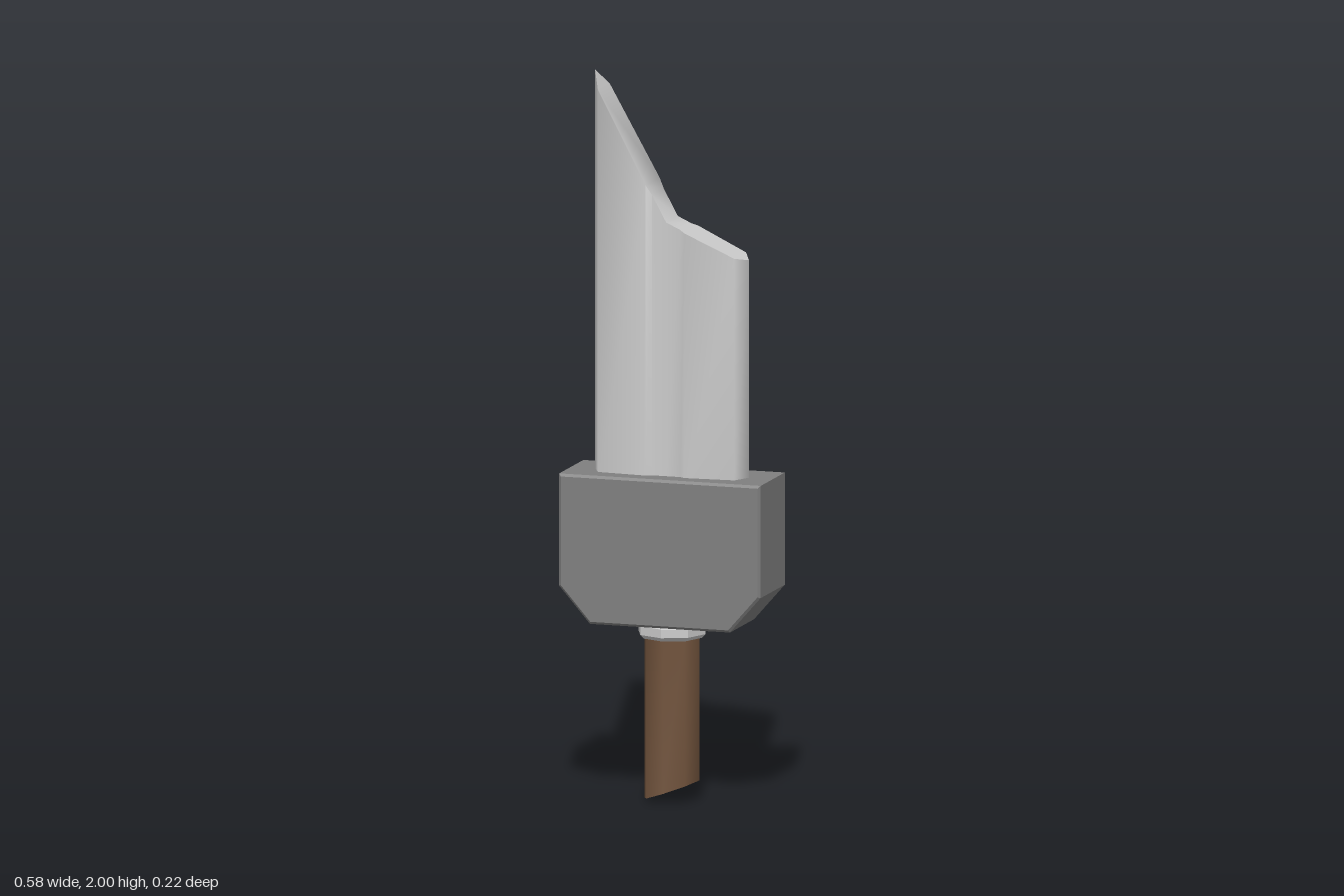
import * as THREE from 'three';
import { toCreasedNormals } from 'three/addons/utils/BufferGeometryUtils.js';

const material = (color) => new THREE.MeshStandardMaterial({ color });

function addPart(group, name, geometry, mat) {
  const mesh = new THREE.Mesh(geometry, mat);
  mesh.name = name;
  group.add(mesh);
  return mesh;
}

// Height of the snapped blade end at a given x
const breakHeight = (x) => (x < 0 ? 1.6 - x * (0.4 / 0.22) : 1.6 - x * (0.1 / 0.22));

// Fullered cross-section, extruded up to the broken end
function bladeGeometry() {
  const half = [
    [-0.22, 0], [-0.195, 0.05], [-0.055, 0.06], [-0.04, 0.05], [0, 0.05],
    [0.04, 0.05], [0.055, 0.06], [0.195, 0.05], [0.22, 0],
  ];
  const back = half.slice(1, -1).reverse().map(([x, z]) => [x, -z]);
  const ring = [...half, ...back];
  const n = ring.length;
  const positions = [];
  for (const [x, z] of ring) positions.push(x, 0.86, z);
  for (const [x, z] of ring) positions.push(x, breakHeight(x), z);

  const index = [];
  for (let i = 0; i < n; i++) {
    const j = (i + 1) % n;
    index.push(i, j, n + j, i, n + j, n + i);
  }
  // Broken end: strips between the front and back halves
  for (let i = 0; i < half.length - 1; i++) {
    const c = n - i - 1, d = (n - i) % n;
    if (c !== i + 1) index.push(n + i, n + i + 1, n + c);
    if (d !== i) index.push(n + i, n + c, n + d);
  }
  const geometry = new THREE.BufferGeometry();
  geometry.setAttribute('position', new THREE.Float32BufferAttribute(positions, 3));
  geometry.setIndex(index);
  return toCreasedNormals(geometry, 1.1);
}

// Heavy block with cut lower corners and a fine bevel
function guardGeometry() {
  const bevel = 0.007;
  const outline = new THREE.Shape([
    [-0.197, 0.497], [0.197, 0.497], [0.281, 0.593], [0.281, 0.893],
    [-0.281, 0.893], [-0.281, 0.593],
  ].map(([x, y]) => new THREE.Vector2(x, y)));
  const geometry = new THREE.ExtrudeGeometry(outline, {
    depth: 0.206, bevelEnabled: true, bevelThickness: bevel, bevelSize: bevel, bevelSegments: 1,
  });
  return geometry.translate(0, 0, -0.103);
}

// Eight-sided grip with its lower end cut at a slant
function gripGeometry() {
  const geometry = new THREE.CylinderGeometry(0.078, 0.078, 0.47, 8, 1);
  geometry.translate(0, 0.235, 0);
  const p = geometry.attributes.position;
  for (let i = 0; i < p.count; i++) {
    if (p.getY(i) < 0.1) p.setY(i, 0.028 + p.getX(i) * 0.36);
  }
  return toCreasedNormals(geometry, 0.9);
}

export function createModel() {
  const group = new THREE.Group();
  group.name = 'brokenSword';
  const steel = material(0xcccccc);

  addPart(group, 'blade', bladeGeometry(), steel);
  addPart(group, 'guard', guardGeometry(), material(0x7f7f7f));

  // Octagonal collar with a chamfered lower edge
  const collarProfile = [[0, 0.45], [0.085, 0.45], [0.096, 0.461], [0.096, 0.485], [0.088, 0.495], [0, 0.495]]
    .map(([r, y]) => new THREE.Vector2(r, y));
  const collar = new THREE.LatheGeometry(collarProfile, 8);
  addPart(group, 'collar', toCreasedNormals(collar, 0.5), steel);

  addPart(group, 'grip', gripGeometry(), material(0x72543d));
  return group;
}
